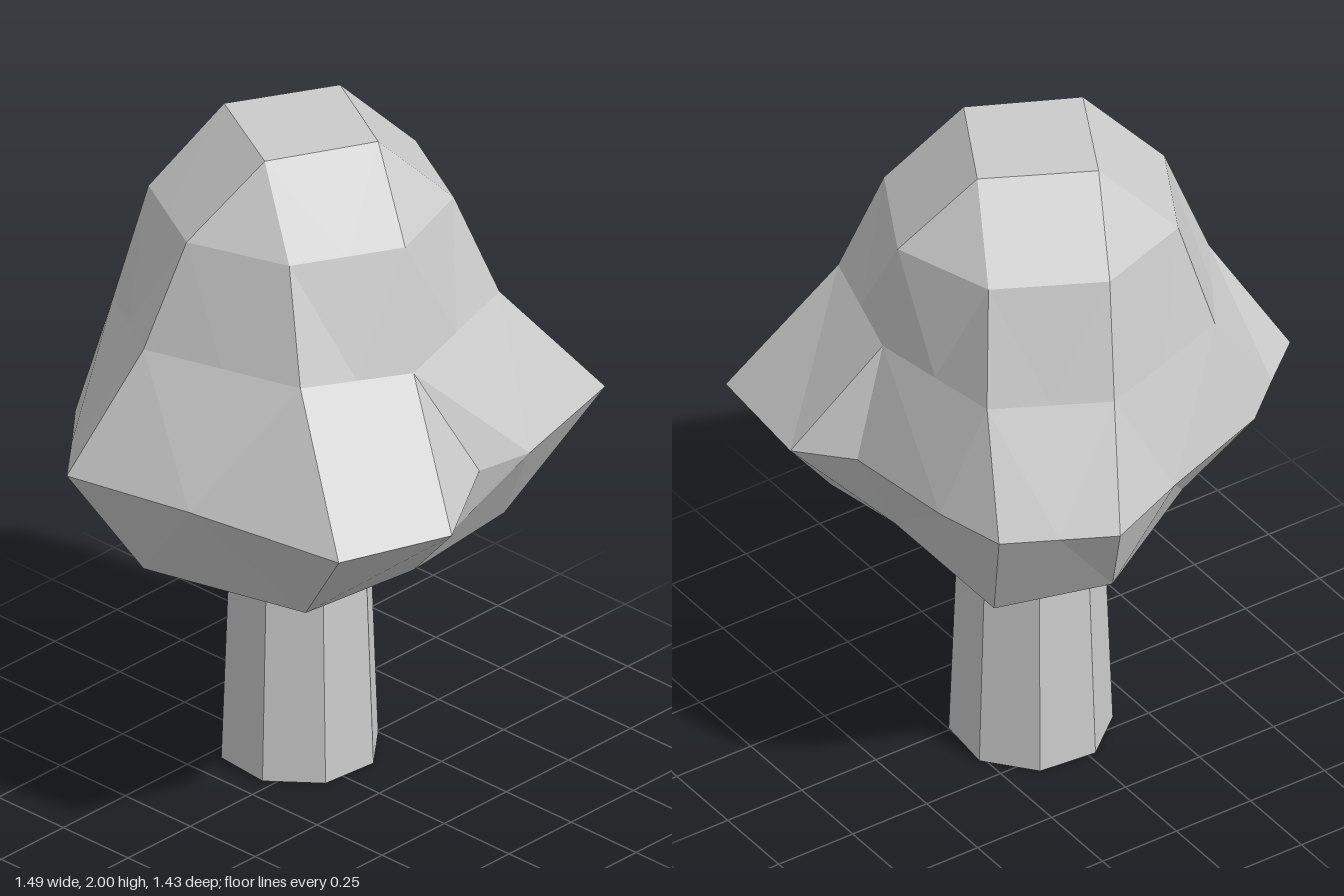
import * as THREE from 'three';

// Insert a midpoint after every point of a closed ring
function withMidpoints(ring) {
  return ring.flatMap((p, i) => {
    const q = ring[(i + 1) % ring.length];
    return [p, p.map((v, k) => (v + q[k]) / 2)];
  });
}

const level = (y, pts) => pts.map(([x, z]) => [x, y, z]);

// Skin closed rings from top to bottom; the quad diagonals alternate so lobes fan cleanly
function skinRings(rings, flips) {
  const pos = [];
  const tri = (a, b, c) => pos.push(...a, ...b, ...c);
  for (let r = 0; r < rings.length - 1; r++) {
    const up = rings[r], low = rings[r + 1], n = up.length;
    for (let i = 0; i < n; i++) {
      const j = (i + 1) % n;
      const a = up[i], b = low[i], c = low[j], d = up[j];
      if ((i + flips[r]) % 2 === 0) { tri(a, b, c); tri(a, c, d); }
      else { tri(a, b, d); tri(b, c, d); }
    }
  }
  // Flat lid on the first ring, closing face under the last ring
  const top = rings[0], end = rings[rings.length - 1];
  for (let i = 1; i < top.length - 1; i++) {
    tri(top[0], top[i], top[i + 1]);
    tri(end[0], end[i + 1], end[i]);
  }
  const geo = new THREE.BufferGeometry();
  geo.setAttribute('position', new THREE.Float32BufferAttribute(pos, 3));
  geo.computeVertexNormals();
  return geo;
}

export function createModel() {
  const group = new THREE.Group();
  const mat = new THREE.MeshStandardMaterial({ color: 0xcccccc, flatShading: true });

  // Tapered eight-sided trunk, running up into the crown
  const trunk = new THREE.Mesh(new THREE.CylinderGeometry(0.195, 0.23, 0.95, 8), mat);
  trunk.name = 'trunk';
  trunk.position.set(-0.1, 0.475, -0.045);
  trunk.rotation.y = THREE.MathUtils.degToRad(17);
  group.add(trunk);

  // Dome: twisted square top opening into octagons
  const corners = [[0, 0.2], [0.15, -0.1], [-0.15, -0.26], [-0.31, 0.04]];
  const crownTop = withMidpoints(level(2, corners.flatMap((c) => [c, c])));
  const dome = withMidpoints(level(1.78, [
    [-0.11, 0.4], [0.19, 0.3], [0.35, 0], [0.25, -0.3],
    [-0.05, -0.46], [-0.35, -0.36], [-0.51, -0.06], [-0.41, 0.24],
  ]));
  const waist = withMidpoints([
    [-0.17, 1.46, 0.51], [0.3, 1.46, 0.37], [0.43, 1.43, 0.05], [0.33, 1.47, -0.4],
    [-0.02, 1.44, -0.49], [-0.43, 1.44, -0.42], [-0.59, 1.43, -0.1], [-0.46, 1.44, 0.33],
  ]);
  // Widest ring, with lobes and valleys
  const lobes = level(1.1, [
    [-0.27, 0.715], [0.12, 0.63], [0.62, 0.55], [0.74, 0.22],
    [0.54, -0.1], [0.57, -0.27], [0.46, -0.69], [0.1, -0.72],
    [-0.04, -0.59], [-0.38, -0.545], [-0.59, -0.49], [-0.67, -0.34],
    [-0.75, -0.19], [-0.64, 0.07], [-0.51, 0.43], [-0.39, 0.57],
  ]);
  // Underside, drawn in towards the trunk
  const underside = withMidpoints([
    [-0.17, 0.76, 0.51], [0.33, 0.76, 0.38], [0.44, 0.81, 0.06], [0.31, 0.74, -0.44],
    [-0.02, 0.81, -0.45], [-0.45, 0.76, -0.41], [-0.61, 0.82, -0.12], [-0.3, 0.77, 0.33],
  ]);
  const inner = underside.map(([x, , z]) => [-0.1 + (x + 0.1) * 0.35, 0.8, -0.045 + (z + 0.045) * 0.35]);

  const crown = new THREE.Mesh(
    skinRings([crownTop, dome, waist, lobes, underside, inner], [0, 0, 0, 1, 0]), mat);
  crown.name = 'foliage';
  group.add(crown);

  return group;
}
